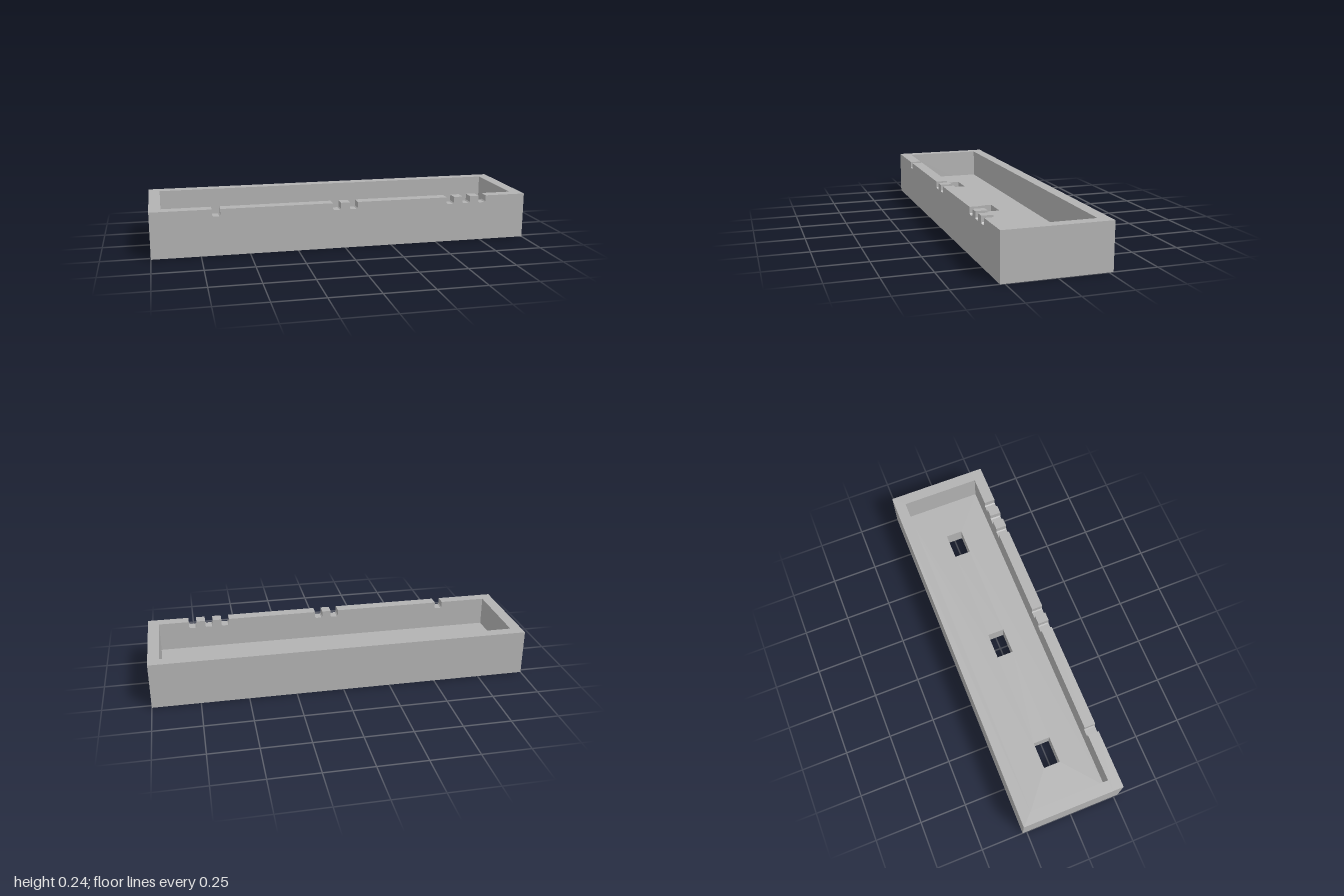
import * as THREE from 'three';

const W = 1, D = 0.273, H = 0.243;      // outer half width, half depth, height
const IW = 0.94, ID = 0.213;            // inner half width, half depth
const FLOOR = 0.087;                    // floor thickness

const polygon = (points) => new THREE.Shape(points.map(([x, y]) => new THREE.Vector2(x, y)));

function extrude(shape, depth) {
  return new THREE.ExtrudeGeometry(shape, { depth, bevelEnabled: false });
}

// Extrude a plan shape (x, -z) straight up from y = 0
function extrudeUp(shape, height) {
  return extrude(shape, height).rotateX(-Math.PI / 2);
}

export function createModel() {
  const group = new THREE.Group();
  const grey = new THREE.MeshStandardMaterial({ color: 0xb2b2b2 });
  const add = (name, geometry) => {
    const mesh = new THREE.Mesh(geometry, grey);
    mesh.name = name;
    group.add(mesh);
    return mesh;
  };

  // Back wall and both end walls, as one U in plan
  const u = polygon([
    [-W, -ID], [-IW, -ID], [-IW, ID], [IW, ID],
    [IW, -ID], [W, -ID], [W, D], [-W, D],
  ]);
  add('backAndEndWalls', extrudeUp(u, H));

  // Floor with three rectangular through holes
  const floor = polygon([[-IW, -ID], [IW, -ID], [IW, ID], [-IW, ID]]);
  for (const x of [-0.666, 0, 0.666]) {
    const hw = 0.071, hd = 0.045;
    floor.holes.push(polygon([[x - hw, -hd], [x - hw, hd], [x + hw, hd], [x + hw, -hd]]));
  }
  add('floor', extrudeUp(floor, FLOOR));

  // Front wall with groups of one, two and three notches in the rim
  const hw = 0.021, depth = 0.037, c = 0.006;
  const profile = [[-W, 0], [W, 0], [W, H]];
  for (const x of [0.757, 0.667, 0.577, 0.045, -0.045, -0.668]) {
    profile.push(
      [x + hw, H], [x + hw, H - depth + c], [x + hw - c, H - depth],
      [x - hw + c, H - depth], [x - hw, H - depth + c], [x - hw, H],
    );
  }
  profile.push([-W, H]);
  add('notchedFrontWall', extrude(polygon(profile), D - ID)).position.z = ID;

  return group;
}
